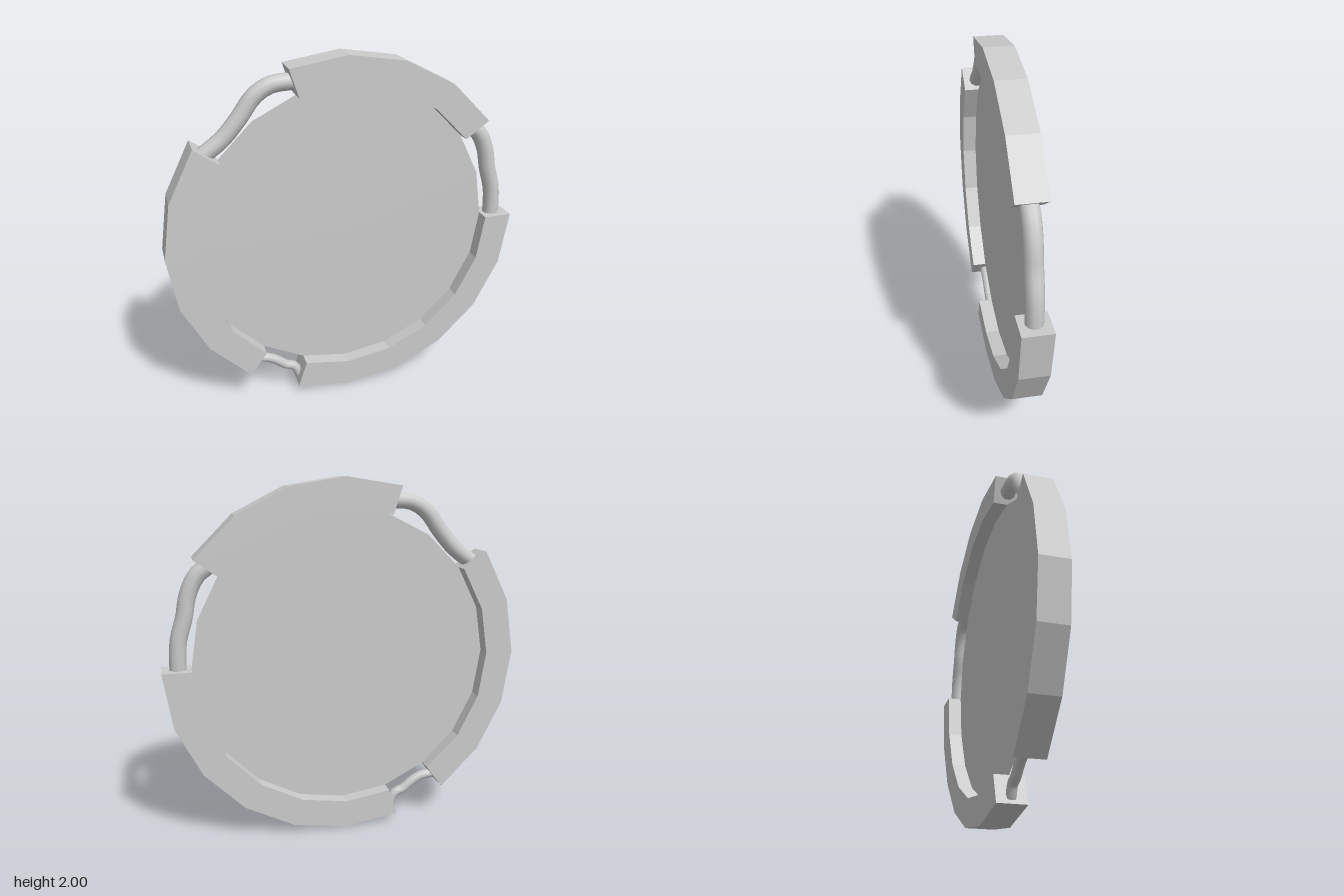
import * as THREE from 'three';

const OUTER = 1, INNER = 0.84, DEPTH = 0.16, SIDES = 20;
const STEP = (Math.PI * 2) / SIDES;

export function createModel() {
  const group = new THREE.Group();
  const flat = new THREE.MeshStandardMaterial({ color: 0xcccccc, flatShading: true });
  const thin = new THREE.MeshStandardMaterial({ color: 0xcccccc, side: THREE.DoubleSide });

  const add = (name, geometry, material) => {
    const mesh = new THREE.Mesh(geometry, material);
    mesh.name = name;
    group.add(mesh);
    return mesh;
  };

  // Faceted rim section between two corners of the 20-sided ring
  const rimSection = (name, first, last) => {
    const points = [];
    const corner = (r, i) => points.push(new THREE.Vector2(r * Math.cos(i * STEP), 1 + r * Math.sin(i * STEP)));
    for (let i = first; i <= last; i++) corner(OUTER, i);
    for (let i = last; i >= first; i--) corner(INNER, i);
    const geometry = new THREE.ExtrudeGeometry(new THREE.Shape(points), { depth: DEPTH, bevelEnabled: false });
    geometry.translate(0, 0, -DEPTH / 2);
    add(name, geometry, flat);
  };
  rimSection('topRim', 2, 6);
  rimSection('rightRim', 8, 13);
  rimSection('bottomRim', 14, 20);

  // Thin centre disc, halfway through the rim
  add('disc', new THREE.CircleGeometry(INNER, SIDES), thin).position.y = 1;

  // Bent tubes bridging the gaps in the rim
  const tube = (name, radius, path) => {
    const curve = new THREE.CatmullRomCurve3(path.map(([x, y]) => new THREE.Vector3(x, y, 0)));
    add(name, new THREE.TubeGeometry(curve, 14, radius, 10, false), thin);
  };
  tube('leftTube', 0.047, [[0.91, 0.98], [0.91, 1.05], [0.9, 1.16], [0.865, 1.28], [0.84, 1.4], [0.79, 1.5], [0.71, 1.56]]);
  tube('upperRightTube', 0.045, [[-0.25, 1.873], [-0.39, 1.86], [-0.475, 1.81], [-0.56, 1.7], [-0.65, 1.6], [-0.76, 1.52]]);
  tube('lowerRightTube', 0.028, [[-0.58, 0.25], [-0.48, 0.237], [-0.42, 0.205], [-0.37, 0.165], [-0.32, 0.145], [-0.285, 0.08]]);

  return group;
}
